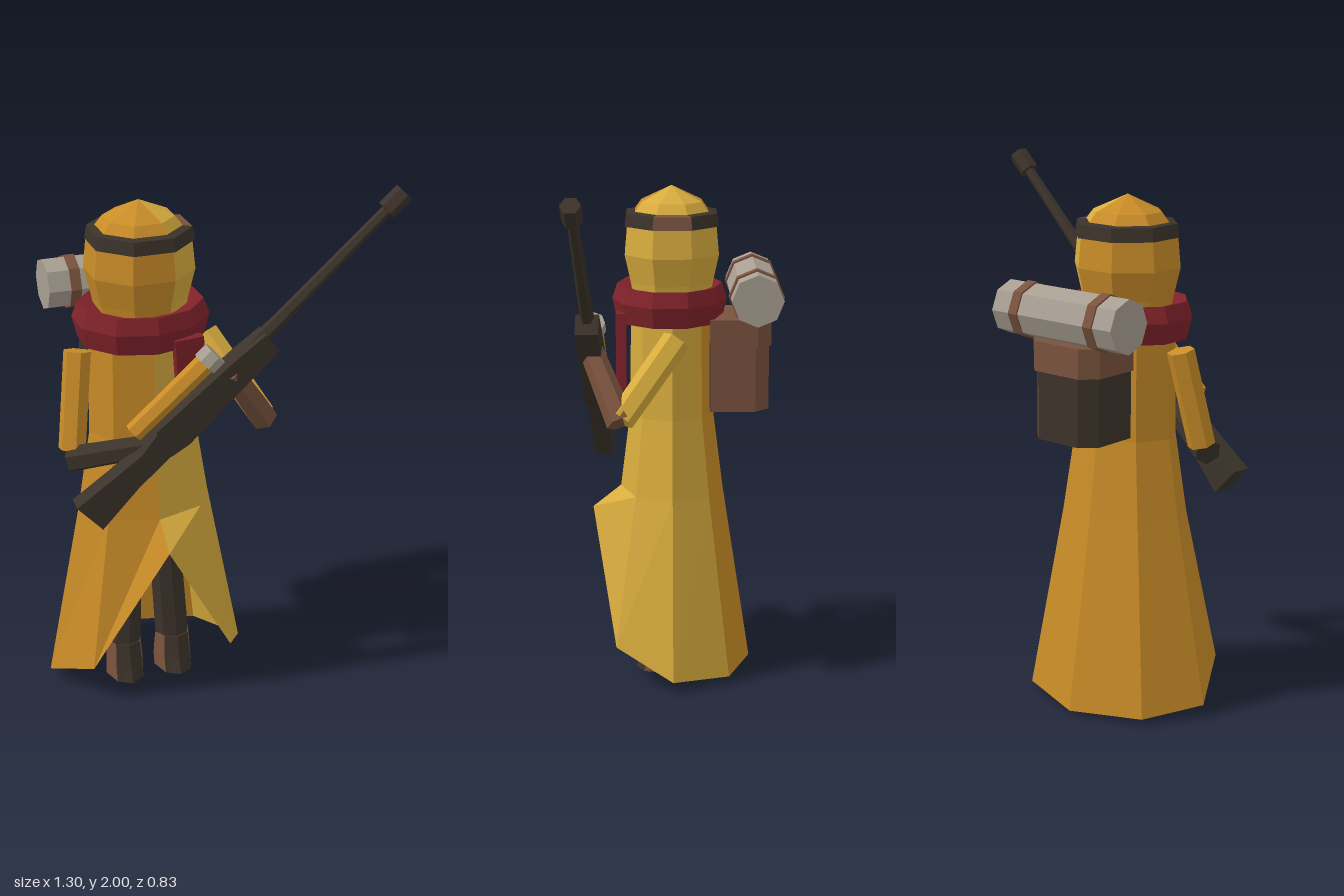
import * as THREE from 'three';

const mat = (name, color, side = THREE.FrontSide) => {
  const m = new THREE.MeshStandardMaterial({ color, side, flatShading: true });
  m.name = name;
  return m;
};
const V = (x, y, z) => new THREE.Vector3(x, y, z);

export function createModel() {
  const ochre = mat('ochre cloth', 0xc98c28, THREE.DoubleSide);
  const yellow = mat('yellow cloth', 0xd8ac3e, THREE.DoubleSide);
  const red = mat('red scarf', 0x80222a, THREE.DoubleSide);
  const dark = mat('dark leather', 0x3c332a);
  const brown = mat('brown leather', 0x7a533e);
  const grey = mat('grey canvas', 0xa89f92);

  const model = new THREE.Group();
  const add = (name, geometry, material, parent = model) => {
    const mesh = new THREE.Mesh(geometry, material);
    mesh.name = name;
    parent.add(mesh);
    return mesh;
  };

  // Skin between closed rings (listed from bottom to top), one material index per facet column
  const loft = (rings, pick = () => 0) => {
    const pos = [], geo = new THREE.BufferGeometry(), n = rings[0].length;
    for (let i = 0; i < n; i++) {
      const start = pos.length / 3, j = (i + 1) % n;
      for (let k = 0; k < rings.length - 1; k++) {
        const a = rings[k][i], b = rings[k][j], c = rings[k + 1][j], d = rings[k + 1][i];
        for (const p of [a, b, c, a, c, d]) pos.push(p.x, p.y, p.z);
      }
      geo.addGroup(start, pos.length / 3 - start, pick(i));
    }
    geo.setAttribute('position', new THREE.Float32BufferAttribute(pos, 3));
    geo.computeVertexNormals();
    return geo;
  };
  // Ring around (cx, cz); angle 0 faces front and turns towards +x
  const ring = (n, y, rx, rz, cx = -0.255, cz = 0.018, phase = 0) =>
    Array.from({ length: n }, (_, i) => {
      const t = ((i + phase) / n) * Math.PI * 2;
      return V(cx + rx * Math.sin(t), y, cz + rz * Math.cos(t));
    });
  // Faceted limb between two points
  const limb = (name, a, b, ra, rb, material, sides = 6, parent = model) => {
    const m = add(name, new THREE.CylinderGeometry(rb, ra, a.distanceTo(b), sides), material, parent);
    m.position.copy(a).lerp(b, 0.5);
    m.quaternion.setFromUnitVectors(V(0, 1, 0), b.clone().sub(a).normalize());
    return m;
  };

  // Robe with a hem that opens at the front
  const hemY = [0.65, 0.15, 0.045, 0.025, 0.01, 0.025, 0.045, 0.15];
  const hem = ring(8, 0, 0.395, 0.315);
  hem.forEach((p, i) => { p.y = hemY[i]; });
  const robe = [hem];
  for (const [y, r] of [[0.74, 0.26], [1.05, 0.21], [1.42, 0.205], [1.48, 0.17]]) {
    robe.push(ring(8, y, r, r * 0.78));
  }
  add('robe', loft(robe, (i) => (i < 3 ? 1 : 0)), [ochre, yellow]);

  // Hood
  const hood = [[1.48, 0.165], [1.57, 0.18], [1.68, 0.207], [1.80, 0.195], [1.88, 0.133], [1.94, 0.001]]
    .map(([y, r]) => ring(8, y, r, r * 0.95, -0.258, 0.018, -0.5));
  add('hood', loft(hood, (i) => (i >= 1 && i <= 3 ? 1 : 0)), [ochre, yellow]);
  const band = [[1.79, 0.18], [1.79, 0.202], [1.84, 0.194], [1.845, 0.15]]
    .map(([y, r]) => ring(8, y, r, r * 0.97, -0.255, 0.018, -0.5));
  add('headBand', loft(band, (i) => (i === 2 ? 1 : 0)), [dark, brown]);

  // Scarf with a hanging tail
  const scarf = [[1.41, 0.16], [1.42, 0.238], [1.50, 0.258], [1.56, 0.235], [1.54, 0.16]]
    .map(([y, r]) => ring(10, y, r, r * 0.87, -0.258, 0.026));
  add('scarf', loft(scarf), red);
  const tail = add('scarfTail', new THREE.BoxGeometry(0.11, 0.29, 0.04), red);
  tail.position.set(-0.13, 1.32, 0.215);
  tail.rotation.z = 0.06;

  // Legs and boots
  for (const s of [-1, 1]) {
    const x = -0.255 + s * 0.1;
    limb('leg', V(x, 0.13, 0.05), V(-0.255 + s * 0.06, 0.85, 0.03), 0.068, 0.06, dark, 8);
    const rows = [ring(8, 0, 0.001, 0.001, x, 0.05), ring(8, 0, 0.075, 0.112, x, 0.052),
      ring(8, 0.06, 0.075, 0.092, x, 0.05), ring(8, 0.15, 0.068, 0.075, x, 0.05), ring(8, 0.15, 0.001, 0.001, x, 0.05)];
    add('boot', loft(rows, (i) => (i < 1 || i === 7 ? 1 : 0)), [brown, dark]);
  }

  // Arms bent around the rifle
  limb('rightUpperArm', V(-0.555, 1.03, 0.1), V(-0.505, 1.39, 0.03), 0.052, 0.052, ochre);
  limb('rightForearm', V(-0.57, 1.0, 0.12), V(-0.31, 1.08, 0.27), 0.052, 0.045, dark);
  limb('leftUpperArm', V(0.155, 1.11, 0.215), V(0, 1.38, 0.005), 0.052, 0.055, yellow);
  limb('leftForearm', V(0.16, 1.1, 0.215), V(-0.025, 1.37, 0.34), 0.055, 0.045, brown);

  // Backpack with chamfered back corners
  const packRing = (y, w, z0, z1, c) => [[w, z0], [w, z1 + c], [w - c, z1], [c - w, z1], [-w, z1 + c], [-w, z0]]
    .map(([x, z]) => V(-0.255 + x, y, z));
  const point = (y) => Array.from({ length: 6 }, () => V(-0.255, y, -0.26));
  const packRows = (y0, y1, w, z0, z1) =>
    [point(y0), packRing(y0, w, z0, z1, 0.055), packRing(y1, w, z0, z1, 0.055), point(y1)];
  add('packBody', loft(packRows(1.075, 1.34, 0.15, -0.13, -0.36), (i) => (i < 2 ? 0 : 1)), [brown, dark]);
  add('packLid', loft(packRows(1.33, 1.44, 0.16, -0.13, -0.368)), brown);
  add('packBase', new THREE.ShapeGeometry(new THREE.Shape(
    packRing(0, 0.148, -0.13, -0.358, 0.055).map((p) => new THREE.Vector2(p.x, p.z)))), dark)
    .rotation.x = Math.PI / 2;
  model.getObjectByName('packBase').position.y = 1.073;

  // Bedroll with two straps
  limb('bedroll', V(-0.54, 1.535, -0.305), V(0.025, 1.535, -0.305), 0.1, 0.1, grey, 8);
  for (const x of [-0.435, -0.08]) {
    limb('bedrollStrap', V(x - 0.02, 1.535, -0.305), V(x + 0.02, 1.535, -0.305), 0.107, 0.107, brown, 8);
  }

  // Rifle, built along local x from the butt
  const rifle = new THREE.Group();
  rifle.name = 'rifle';
  const dir = V(0.72, 0.69, 0.052).normalize();
  const side = dir.clone().cross(V(0, 1, 0)).normalize();
  rifle.quaternion.setFromRotationMatrix(new THREE.Matrix4().makeBasis(dir, side.clone().cross(dir), side));
  rifle.position.set(-0.555, 0.85, 0.29);
  model.add(rifle);
  const slab = (name, pts, depth) => {
    const shape = new THREE.Shape(pts.map(([x, y]) => new THREE.Vector2(x, y)));
    const geo = new THREE.ExtrudeGeometry(shape, { depth, bevelEnabled: false });
    add(name, geo.translate(0, 0, -depth / 2), dark, rifle);
  };
  slab('stock', [[0, -0.07], [0.2, -0.055], [0.37, -0.057], [0.45, -0.06], [0.45, 0.05], [0.3, 0.03], [0.17, 0.045], [0, 0.067]], 0.078);
  slab('receiver', [[0.37, -0.057], [0.45, -0.074], [0.92, -0.068], [0.93, 0.015], [0.8, 0.03], [0.4, 0.055]], 0.088);
  limb('barrel', V(0.85, 0, 0), V(1.57, 0, 0), 0.028, 0.02, dark, 6, rifle);
  limb('muzzle', V(1.545, 0, 0), V(1.635, 0, 0), 0.038, 0.038, dark, 6, rifle);
  limb('scope', V(0.34, 0.1, 0), V(0.73, 0.09, 0), 0.036, 0.04, ochre, 6, rifle);
  limb('scopeLens', V(0.7, 0.09, 0), V(0.755, 0.09, 0), 0.05, 0.05, grey, 8, rifle);
  return model;
}
